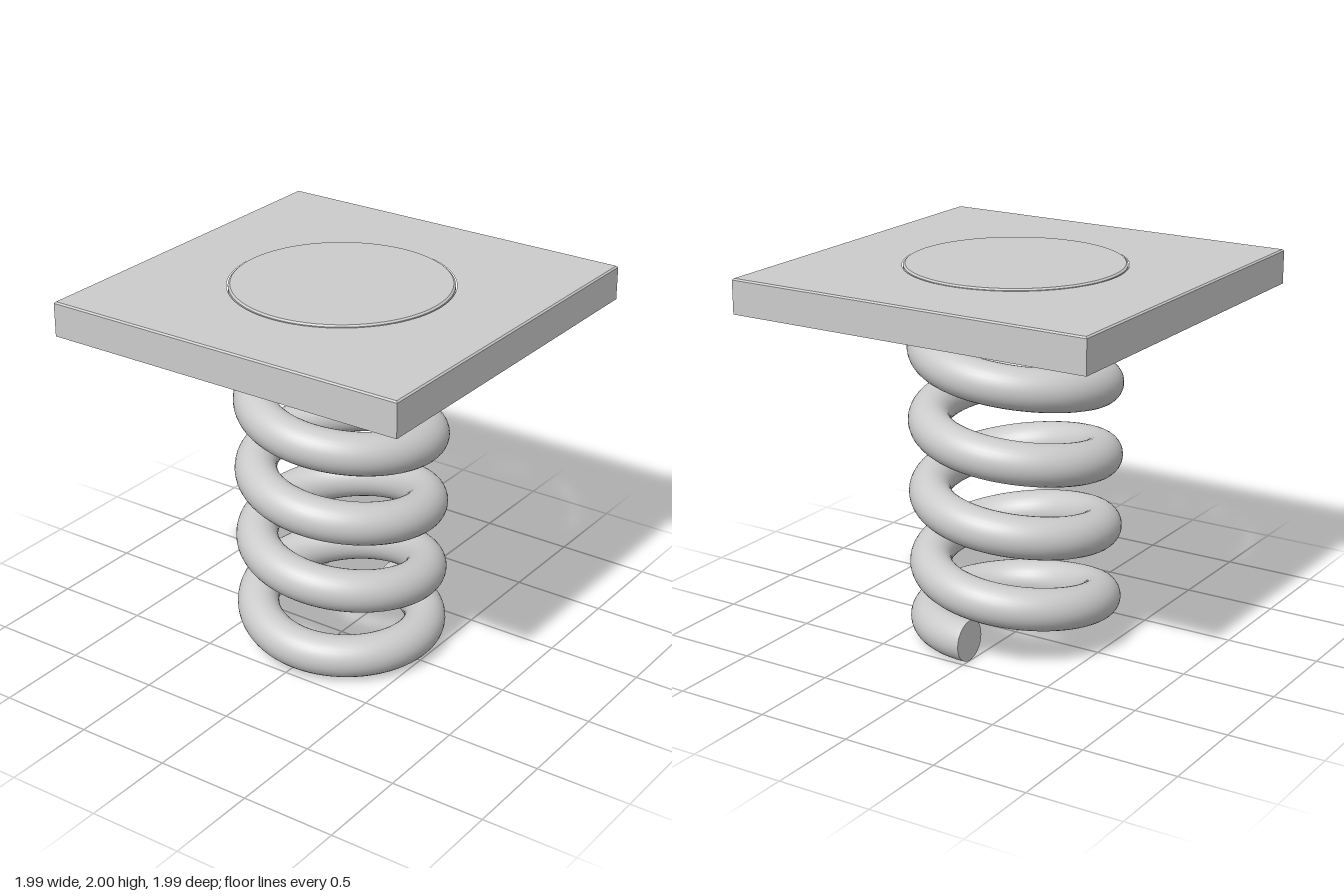
import * as THREE from 'three';

const TURNS = 5, COIL_R = 0.44, WIRE_R = 0.109;

// Height of the wire centre at every quarter turn: flat ends, steady pitch between
const heights = [];
for (let q = 0; q <= TURNS * 4; q++) heights.push(0.355 + 0.385 * (q / 4 - 1));
heights.splice(0, 3, 0.112, 0.112, 0.14);
heights.splice(-2, 2, 1.762, 1.77);
const rise = new THREE.SplineCurve(heights.map((y, i) => new THREE.Vector2(i, y)));

class CoilCurve extends THREE.Curve {
  getPoint(t, target = new THREE.Vector3()) {
    const a = t * TURNS * Math.PI * 2;
    return target.set(COIL_R * Math.cos(a), rise.getPoint(t).y, COIL_R * Math.sin(a));
  }
}

export function createModel() {
  const model = new THREE.Group();
  const solid = new THREE.MeshStandardMaterial({ color: 0xcccccc });
  const thin = new THREE.MeshStandardMaterial({ color: 0xcccccc, side: THREE.DoubleSide });
  const thinFlat = thin.clone();
  thinFlat.flatShading = true;

  const add = (name, geometry, material, parent = model) => {
    const mesh = new THREE.Mesh(geometry, material);
    mesh.name = name;
    parent.add(mesh);
    return mesh;
  };
  const lathe = (points, segments) =>
    new THREE.LatheGeometry(points.map(([x, y]) => new THREE.Vector2(x, y)), segments);

  // Spring wire with flat cut ends
  const spring = new THREE.Group();
  spring.name = 'spring';
  model.add(spring);
  const curve = new CoilCurve();
  add('coil', new THREE.TubeGeometry(curve, 400, WIRE_R, 32, false), solid, spring);
  for (const [name, t, dir] of [['lowerEnd', 0, -1], ['upperEnd', 1, 1]]) {
    const cap = add(name, new THREE.CircleGeometry(WIRE_R, 32), solid, spring);
    cap.position.copy(curve.getPoint(t));
    cap.quaternion.setFromUnitVectors(
      new THREE.Vector3(0, 0, 1), curve.getTangent(t).multiplyScalar(dir));
  }

  // Square top plate: hollow underneath, with a round opening
  const plate = new THREE.Group();
  plate.name = 'plate';
  model.add(plate);
  const H = 0.995, BEVEL = 0.008, TOP = 1.99, BOTTOM = 1.81, inner = H - BEVEL;
  const shape = new THREE.Shape();
  shape.moveTo(-inner, -inner).lineTo(inner, -inner).lineTo(inner, inner).lineTo(-inner, inner).closePath();
  const hole = new THREE.Path();
  hole.absarc(0, 0, 0.566, 0, Math.PI * 2, true);
  shape.holes.push(hole);
  const sheet = new THREE.ShapeGeometry(shape, 64);
  sheet.rotateX(-Math.PI / 2);
  sheet.translate(0, TOP, 0);
  add('plateTop', sheet, thin, plate);

  // Plate rim: a four-sided lathe with a small bevel at the top
  const rim = lathe([[H, BOTTOM], [H, TOP - BEVEL], [inner, TOP]]
    .map(([x, y]) => [x * Math.SQRT2, y]), 4);
  rim.rotateY(Math.PI / 4);
  add('plateRim', rim, thinFlat, plate);

  // Round cup that holds the upper end of the spring
  const cup = new THREE.Group();
  cup.name = 'springCup';
  model.add(cup);
  add('cupWall', lathe([[0.56, BOTTOM], [0.56, 1.992]], 96), thin, cup);
  add('cupBevel', lathe([[0.56, 1.992], [0.55, 2]], 96), thin, cup);
  add('cupTop', lathe([[0.55, 2], [0, 2]], 96), thin, cup);

  return model;
}
